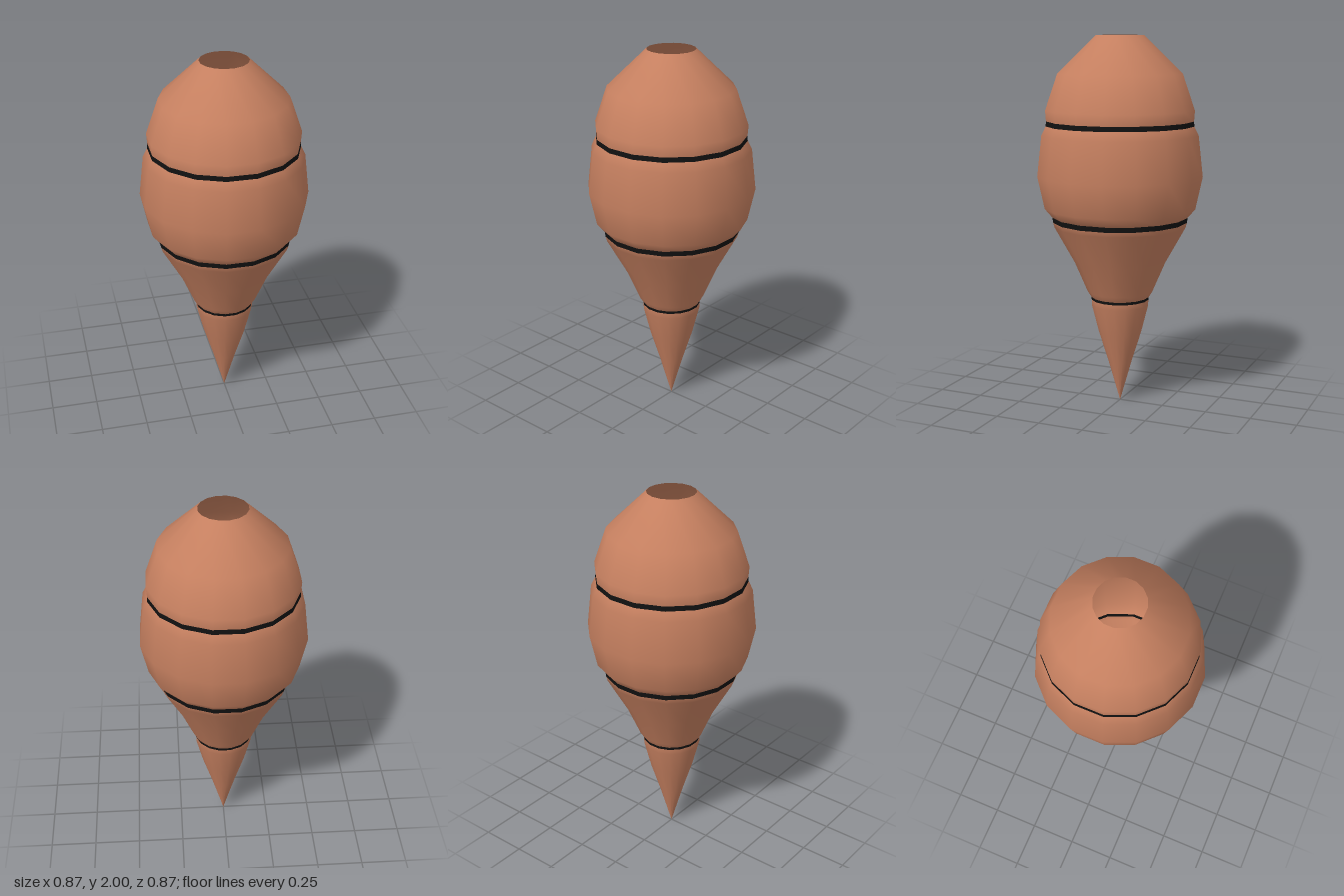
import * as THREE from 'three';

const SIDES = 16;
// The outlines are measured across the flats, so widen them to the corners
const TO_CORNER = 1 / Math.cos(Math.PI / SIDES);

const brown = new THREE.MeshStandardMaterial({ color: 0xc68060, side: THREE.DoubleSide });
const black = new THREE.MeshStandardMaterial({ color: 0x111111, side: THREE.DoubleSide });

// Open shell turned around y from [radius, height] pairs, bottom to top
function shell(name, profile, material) {
  const points = profile.map(([r, y]) => new THREE.Vector2(r * TO_CORNER, y));
  const geometry = new THREE.LatheGeometry(points, SIDES, Math.PI / SIDES);
  const mesh = new THREE.Mesh(geometry, material);
  mesh.name = name;
  return mesh;
}

export function createModel() {
  const group = new THREE.Group();
  group.name = 'segmentedHorn';

  // Hollow body segments, from the pointed tip to the open mouth
  const segments = {
    tipSegment: [[0, 0], [0.064, 0.23], [0.116, 0.4], [0.153, 0.55], [0.154, 0.58]],
    lowerSegment: [[0.155, 0.595], [0.175, 0.627], [0.243, 0.79], [0.35, 0.987], [0.357, 1.013]],
    middleSegment: [[0.36, 1.04], [0.4, 1.088], [0.437, 1.262], [0.413, 1.48], [0.39, 1.527]],
    upperSegment: [[0.388, 1.553], [0.392, 1.61], [0.328, 1.8], [0.125, 2]],
  };
  for (const [name, profile] of Object.entries(segments)) {
    group.add(shell(name, profile, brown));
  }

  // Dark bands close the grooves between neighbouring segments
  const profiles = Object.values(segments);
  ['lowerBand', 'middleBand', 'upperBand'].forEach((name, i) => {
    group.add(shell(name, [profiles[i].at(-1), profiles[i + 1][0]], black));
  });

  return group;
}
